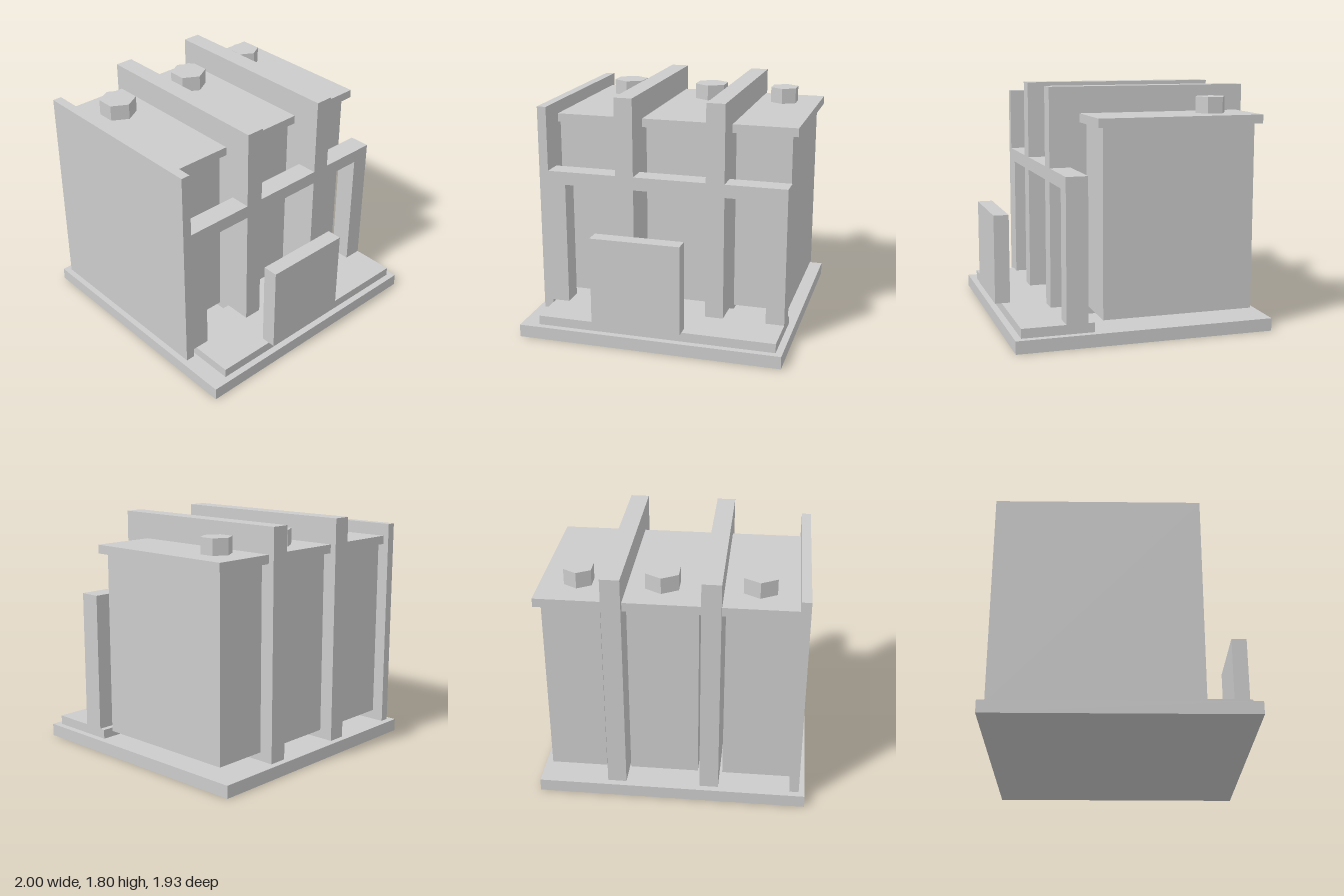
import * as THREE from 'three';

const material = new THREE.MeshStandardMaterial({ color: 0xcccccc, flatShading: true });

export function createModel() {
  const model = new THREE.Group();
  model.name = 'tankRack';

  const add = (name, geometry, x, y, z) => {
    const mesh = new THREE.Mesh(geometry, material);
    mesh.name = name;
    mesh.position.set(x, y, z);
    model.add(mesh);
  };

  // Box given by its limits along each axis
  const block = (name, [x0, x1], [y0, y1], [z0, z1]) =>
    add(name, new THREE.BoxGeometry(x1 - x0, y1 - y0, z1 - z0),
      (x0 + x1) / 2, (y0 + y1) / 2, (z0 + z1) / 2);

  // Base slab, raised front step and front panel
  block('base', [-1, 1], [0, 0.095], [-0.965, 0.965]);
  block('frontStep', [-0.86, 0.95], [0.095, 0.165], [0.385, 0.915]);
  block('frontPanel', [-0.42, 0.255], [0.165, 0.84], [0.85, 0.965]);

  // Thin side wall and two taller dividers
  const wallDepth = [-0.915, 0.59];
  block('sideWall', [-0.955, -0.885], [0.095, 1.7], wallDepth);
  block('rightDivider', [-0.35, -0.21], [0.095, 1.8], wallDepth);
  block('leftDivider', [0.345, 0.485], [0.095, 1.8], wallDepth);

  // Front frame: rail pieces between the walls, and end posts
  const frameDepth = [0.43, 0.59];
  for (const span of [[-0.885, -0.35], [-0.21, 0.345], [0.485, 0.95]])
    block('frontRail', span, [1.11, 1.21], frameDepth);
  for (const span of [[-0.885, -0.75], [0.81, 0.95]])
    block('framePost', span, [0.165, 1.11], frameDepth);

  // Three tanks, each with an overhanging lid and a hexagonal cap
  const tanks = [
    { x: [-0.885, -0.375], capX: -0.605, capRadius: 0.138 },
    { x: [-0.19, 0.32], capX: 0.09, capRadius: 0.138 },
    { x: [0.505, 0.925], capX: 0.695, capRadius: 0.115 },
  ];
  for (const { x: [x0, x1], capX, capRadius } of tanks) {
    block('tankBody', [x0, x1], [0.168, 1.54], [-0.825, 0.315]);
    block('tankLid', [x0 - 0.048, x1 + 0.048], [1.54, 1.605], [-0.87, 0.362]);
    add('tankCap', new THREE.CylinderGeometry(capRadius, capRadius, 0.12, 6), capX, 1.665, -0.573);
  }

  return model;
}
